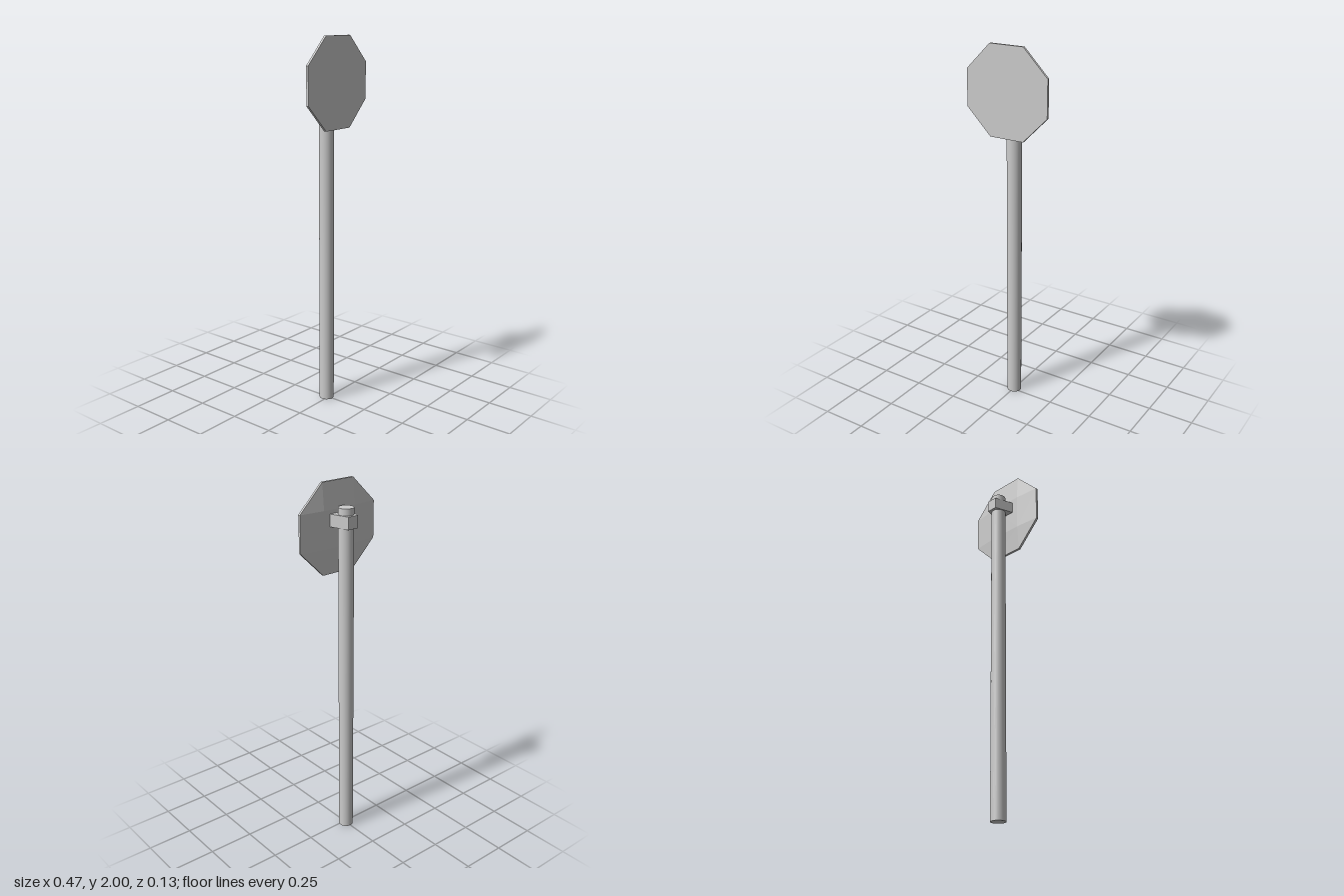
import * as THREE from 'three';
import { ConvexGeometry } from 'three/addons/geometries/ConvexGeometry.js';

const H = 0.2375; // half the width of the sign plate
const C = 0.098;  // half the length of one plate edge

export function createModel() {
  const group = new THREE.Group();
  const material = new THREE.MeshStandardMaterial({ color: 0xcccccc });
  const add = (name, geometry, x, y, z) => {
    const mesh = new THREE.Mesh(geometry, material);
    mesh.name = name;
    mesh.position.set(x, y, z);
    group.add(mesh);
    return mesh;
  };

  // Round post
  add('post', new THREE.CylinderGeometry(0.04, 0.04, 1.875, 32), 0, 0.9375, -0.013);

  // Octagonal plate: flat front, straight rim, back raised towards the middle
  const points = [];
  for (const sx of [-1, 1]) {
    for (const sy of [-1, 1]) {
      for (const z of [0.063, 0.05]) {
        points.push(new THREE.Vector3(sx * H, sy * C, z), new THREE.Vector3(sx * C, sy * H, z));
      }
      points.push(new THREE.Vector3(sx * C, sy * C, 0.038));
    }
  }
  add('signPlate', new ConvexGeometry(points), 0, 2 - H, 0);

  // Tapered clamp joining the post to the plate
  const outline = new THREE.Shape([
    new THREE.Vector2(-0.062, -0.039),
    new THREE.Vector2(0.062, -0.039),
    new THREE.Vector2(0.03, 0.067),
    new THREE.Vector2(-0.03, 0.067),
  ]);
  const clamp = new THREE.ExtrudeGeometry(outline, { depth: 0.065, bevelEnabled: false });
  clamp.rotateX(-Math.PI / 2);
  add('clamp', clamp, 0, 1.775, 0);

  return group;
}
